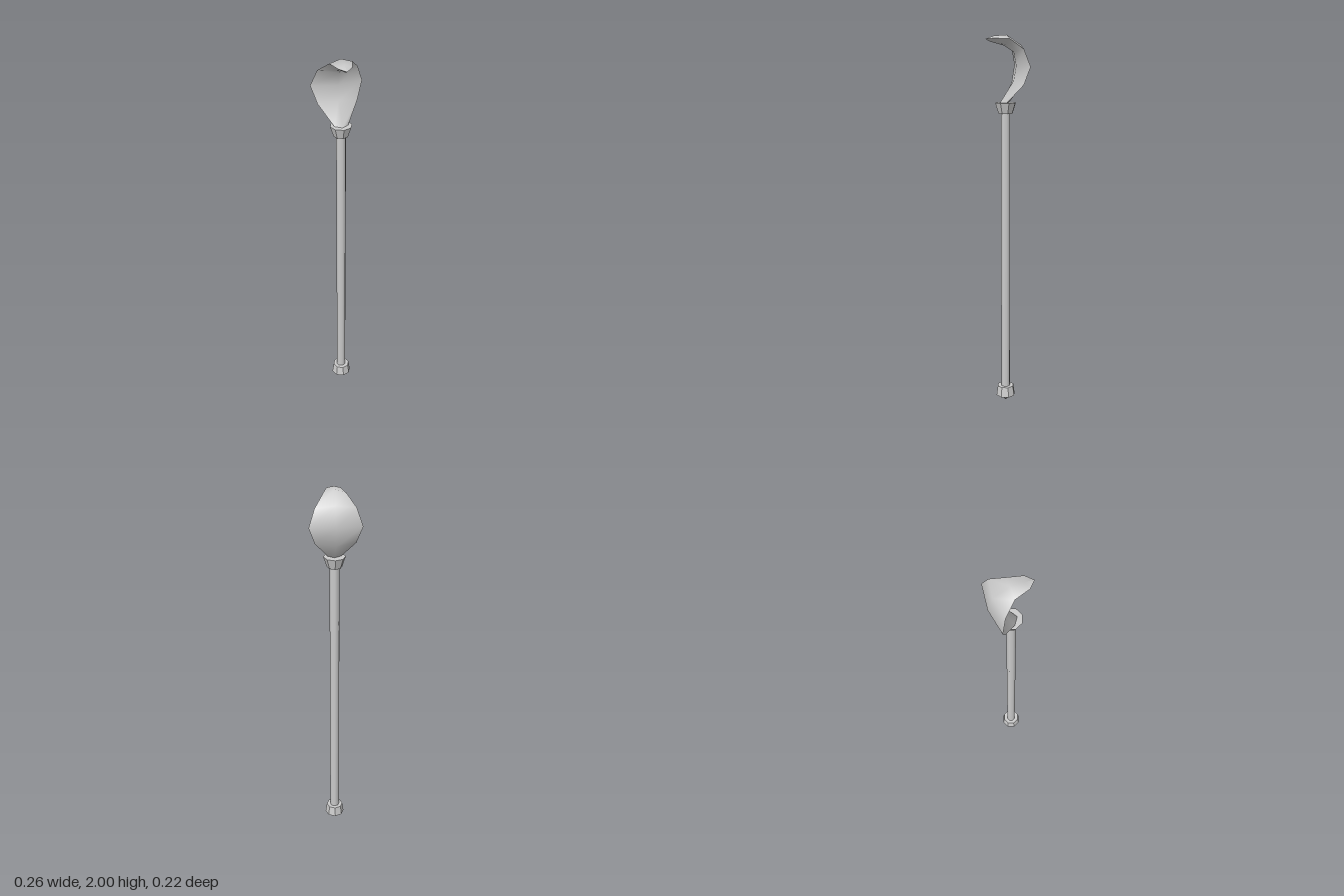
import * as THREE from 'three';

const SIDES = 8;

// Hood cross-sections from base to tip: side edge [x, y, z], back ridge [y, z], front ridge [y, z]
const SECTIONS = [
  { edge: [0.02, 1.635, 0.015], back: [1.63, 0.01], front: [1.63, 0.045] },
  { edge: [0.035, 1.66, 0.005], back: [1.66, -0.018], front: [1.66, 0.03] },
  { edge: [0.1, 1.755, -0.065], back: [1.74, -0.082], front: [1.77, -0.043] },
  { edge: [0.13, 1.845, -0.09], back: [1.845, -0.11], front: [1.845, -0.057] },
  { edge: [0.1, 1.93, -0.065], back: [1.948, -0.085], front: [1.915, -0.043] },
  { edge: [0.056, 1.982, -0.005], back: [2.0, -0.005], front: [1.947, 0.008] },
  { edge: [0.034, 1.984, 0.073], back: [1.996, 0.06], front: [1.966, 0.08] },
  { edge: [0, 1.98, 0.107], back: [1.98, 0.107], front: [1.98, 0.107] },
];

// One smooth sheet of the hood: left edge, ridge, right edge at every section
function hoodSheet(side) {
  const points = [];
  const index = [];
  const s = side === 'front' ? 1 : -1;
  SECTIONS.forEach((section, i) => {
    const [x, y, z] = section.edge;
    points.push(-s * x, y, z, 0, ...section[side], s * x, y, z);
    if (i === 0) return;
    for (let c = 0; c < 2; c++) {
      const a = (i - 1) * 3 + c;
      const b = a + 3;
      index.push(a, a + 1, b + 1);
      if (i < SECTIONS.length - 1) index.push(a, b + 1, b);
    }
    // The last row meets in one point, so its outer triangles use the ridge vertex
  });
  const geometry = new THREE.BufferGeometry();
  geometry.setAttribute('position', new THREE.Float32BufferAttribute(points, 3));
  // Close the left half of the tip
  const last = (SECTIONS.length - 1) * 3;
  index.push(last - 3, last - 2, last + 1);
  geometry.setIndex(index);
  geometry.computeVertexNormals();
  return geometry;
}

export function createModel() {
  const model = new THREE.Group();
  const smooth = new THREE.MeshStandardMaterial({ color: 0xcccccc, side: THREE.DoubleSide });
  const flat = new THREE.MeshStandardMaterial({ color: 0xcccccc, flatShading: true });

  function add(name, geometry, material) {
    const mesh = new THREE.Mesh(geometry, material);
    mesh.name = name;
    model.add(mesh);
  }

  // Upright eight-sided section between two heights
  function section(name, y0, y1, r0, r1, material = flat) {
    const geometry = new THREE.CylinderGeometry(r1, r0, y1 - y0, SIDES);
    geometry.translate(0, (y0 + y1) / 2, 0);
    add(name, geometry, material);
  }

  // Staff
  section('shaft', 0.06, 1.64, 0.025, 0.025, smooth);
  section('topCollar', 1.605, 1.66, 0.038, 0.056);
  section('footCollar', 0.035, 0.09, 0.053, 0.045);
  section('footSpike', 0, 0.036, 0, 0.033);

  // Curved hood with a pointed, forward-bent tip
  add('hoodFront', hoodSheet('front'), smooth);
  add('hoodBack', hoodSheet('back'), smooth);

  return model;
}
